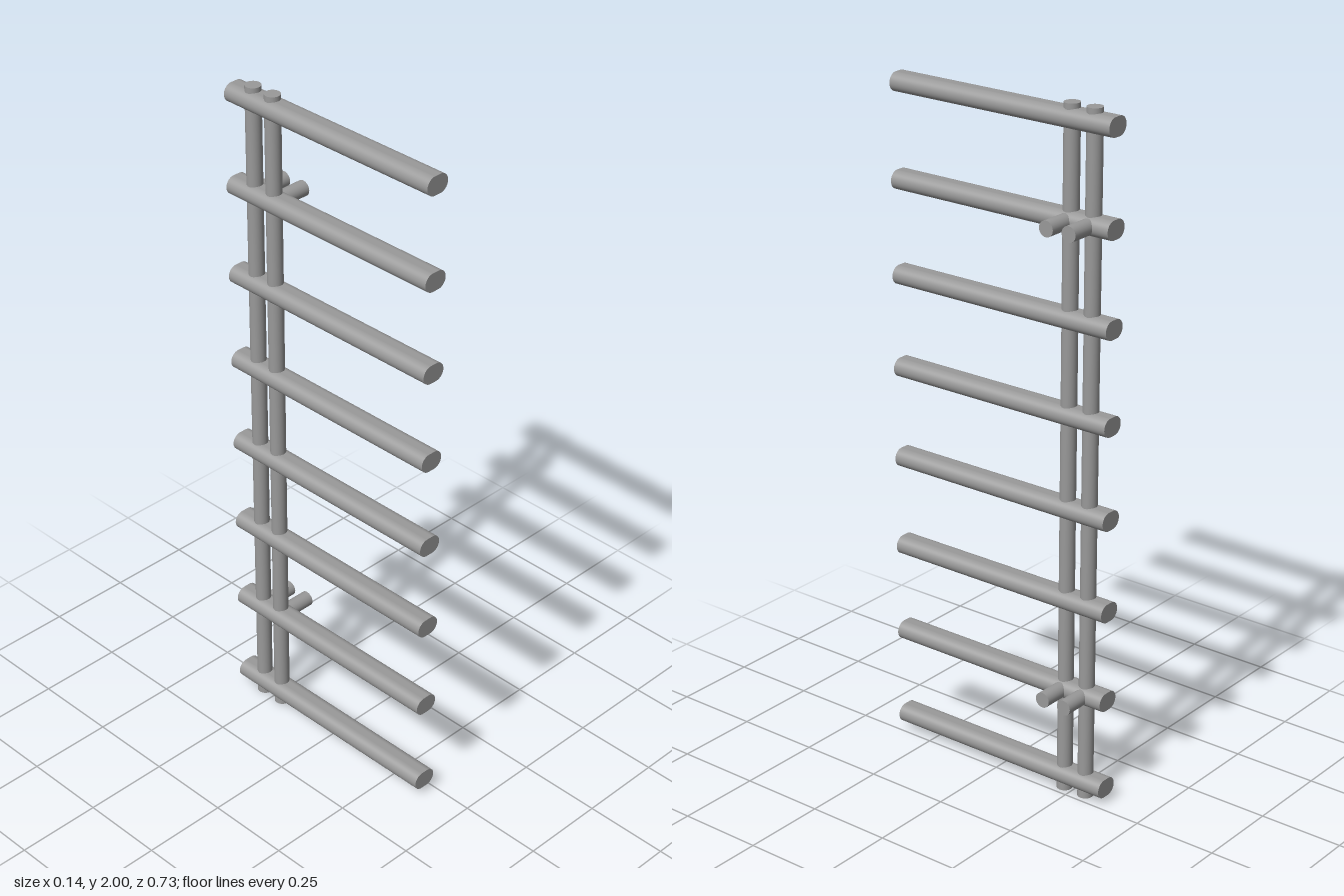
import * as THREE from 'three';

export function createModel() {
  const group = new THREE.Group();
  const steel = new THREE.MeshStandardMaterial({ color: 0x999999 });
  steel.name = 'grey metal';

  const railX = -0.036, postZ = [-0.22, -0.293], tubeRadius = 0.0225;
  const firstRung = 0.048, rungGap = 0.273, rungCount = 8, rungLength = 0.73;

  const add = (name, geometry, x, y, z) => {
    const mesh = new THREE.Mesh(geometry, steel);
    mesh.name = name;
    mesh.position.set(x, y, z);
    group.add(mesh);
    return mesh;
  };

  // Rung: flattened tube with rounded sides
  const r = 0.027, flat = 0.0098;
  const section = new THREE.Shape();
  section.moveTo(-flat, -r);
  section.lineTo(flat, -r);
  section.absarc(flat, 0, r, -Math.PI / 2, Math.PI / 2, false);
  section.lineTo(-flat, r);
  section.absarc(-flat, 0, r, Math.PI / 2, Math.PI * 1.5, false);
  const rungGeometry = new THREE.ExtrudeGeometry(section, {
    depth: rungLength, bevelEnabled: false, curveSegments: 16,
  });
  // Smooth the side normals from the rounded section
  const pos = rungGeometry.attributes.position, nor = rungGeometry.attributes.normal;
  for (let i = 0; i < pos.count; i++) {
    if (Math.abs(nor.getZ(i)) > 0.5) continue;
    const x = pos.getX(i), y = pos.getY(i);
    const dx = x - THREE.MathUtils.clamp(x, -flat, flat);
    const len = Math.hypot(dx, y);
    nor.setXYZ(i, dx / len, y / len, 0);
  }
  rungGeometry.translate(0, 0, -rungLength / 2);
  for (let i = 0; i < rungCount; i++) {
    add('rung' + (i + 1), rungGeometry, railX, firstRung + i * rungGap, 0);
  }

  // Upright posts
  const postGeometry = new THREE.CylinderGeometry(tubeRadius, tubeRadius, 2, 32);
  postZ.forEach((z, i) => add('post' + (i + 1), postGeometry, railX, 1, z));

  // Wall pegs level with the second and seventh rungs
  const pegEnd = 0.071, pegLength = pegEnd - railX;
  const pegGeometry = new THREE.CylinderGeometry(tubeRadius, tubeRadius, pegLength, 32);
  pegGeometry.rotateZ(Math.PI / 2);
  for (const i of [1, 6]) {
    for (const z of postZ) {
      add('wallPeg', pegGeometry, railX + pegLength / 2, firstRung + i * rungGap, z);
    }
  }
  return group;
}
